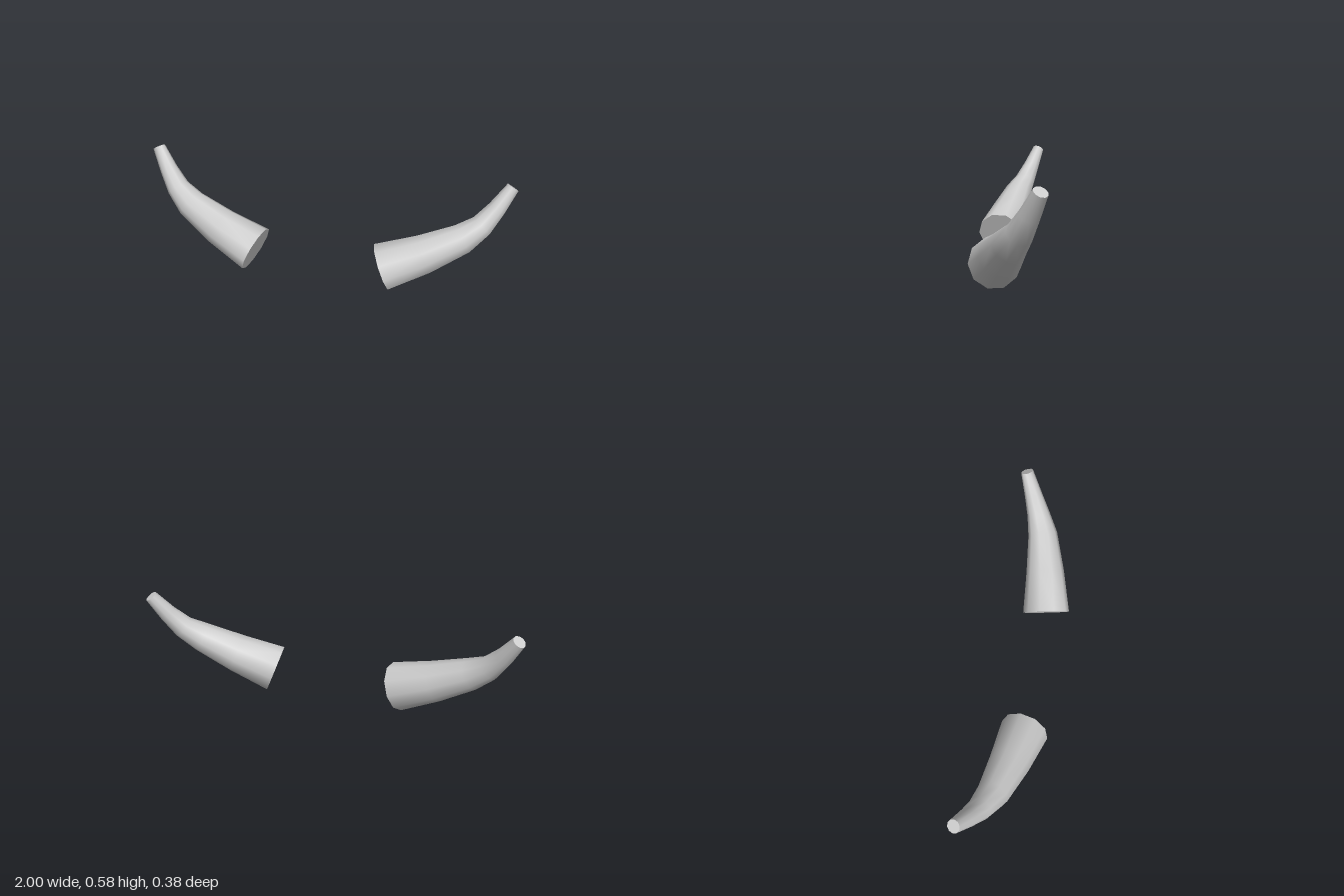
import * as THREE from 'three';

const SIDES = 10;

// Centre line of one horn from base to tip: x, y, z, radius
const RINGS = [
  [0.353, 0.118, 0.061, 0.132],
  [0.565, 0.205, 0.018, 0.108],
  [0.75, 0.3, -0.03, 0.083],
  [0.84, 0.368, -0.073, 0.063],
  [0.905, 0.458, -0.115, 0.048],
  [0.969, 0.565, -0.16, 0.034],
];

// Rings of points square to the centre line, carried along without twist
function hornRings(side) {
  const centres = RINGS.map(([x, y, z]) => new THREE.Vector3(x, y, z));
  let up = new THREE.Vector3(0, 1, 0);
  return centres.map((c, i) => {
    const before = centres[Math.max(i - 1, 0)];
    const after = centres[Math.min(i + 1, centres.length - 1)];
    const dir = i > 0 && i < centres.length - 1
      ? c.clone().sub(before).normalize().add(after.clone().sub(c).normalize()).normalize()
      : after.clone().sub(before).normalize();
    up = up.clone().addScaledVector(dir, -up.dot(dir)).normalize();
    const across = up.clone().cross(dir);
    return Array.from({ length: SIDES }, (_, j) => {
      const a = (j / SIDES) * Math.PI * 2;
      const p = c.clone()
        .addScaledVector(across, Math.cos(a) * RINGS[i][3])
        .addScaledVector(up, Math.sin(a) * RINGS[i][3]);
      p.x *= side;
      return p;
    });
  });
}

function surface(points, triangles, flip) {
  const geometry = new THREE.BufferGeometry().setFromPoints(points);
  geometry.setIndex(triangles.flatMap(([a, b, c]) => (flip ? [a, c, b] : [a, b, c])));
  geometry.computeVertexNormals();
  return geometry;
}

function makeHorn(side, material) {
  const horn = new THREE.Group();
  const rings = hornRings(side);
  const mirrored = side < 0;
  const add = (name, geometry) => {
    const mesh = new THREE.Mesh(geometry, material);
    mesh.name = name;
    horn.add(mesh);
  };

  // Smooth curved side
  const quads = [];
  for (let i = 0; i < rings.length - 1; i++) {
    for (let j = 0; j < SIDES; j++) {
      const k = (j + 1) % SIDES;
      const a = i * SIDES + j, b = i * SIDES + k;
      quads.push([a, b, a + SIDES], [b, b + SIDES, a + SIDES]);
    }
  }
  add('hornShaft', surface(rings.flat(), quads, mirrored));

  // Flat ends
  const fan = Array.from({ length: SIDES - 2 }, (_, j) => [0, j + 1, j + 2]);
  add('hornBase', surface(rings[0], fan, !mirrored));
  add('hornTip', surface(rings[rings.length - 1], fan, mirrored));
  return horn;
}

export function createModel() {
  const model = new THREE.Group();
  model.name = 'horns';
  const grey = new THREE.MeshStandardMaterial({ color: 0xcccccc });
  grey.name = 'light grey';
  for (const side of [1, -1]) {
    const horn = makeHorn(side, grey);
    horn.name = side > 0 ? 'leftHorn' : 'rightHorn';
    model.add(horn);
  }
  return model;
}
